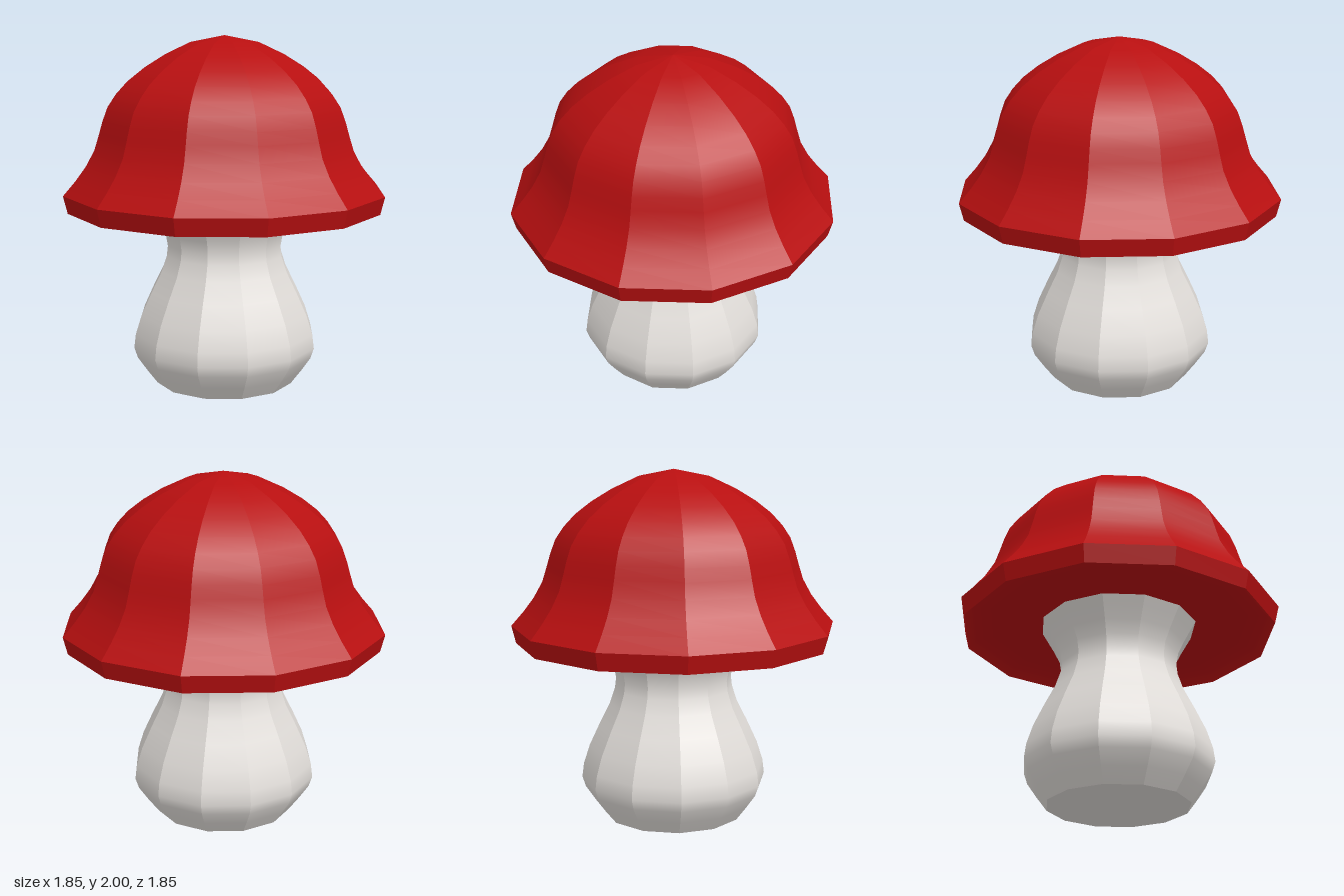
import * as THREE from 'three';
import { mergeGeometries } from 'three/addons/utils/BufferGeometryUtils.js';

const SIDES = 12;
const STEP = (Math.PI * 2) / SIDES;

// Twelve panels, flat around the axis but smooth along the profile.
function panelLathe(profile) {
  const points = profile.map(([r, y]) => new THREE.Vector2(r, y));
  const panels = [];
  for (let i = 0; i < SIDES; i++) {
    const panel = new THREE.LatheGeometry(points, 1, i * STEP, STEP);
    const mid = (i + 0.5) * STEP;
    const sx = Math.sin(mid), sz = Math.cos(mid), shrink = Math.cos(STEP / 2);
    const normal = panel.attributes.normal;
    const n = new THREE.Vector3();
    for (let k = 0; k < normal.count; k++) {
      n.fromBufferAttribute(normal, k);
      const radial = (n.x * sx + n.z * sz) / shrink;
      n.set(radial * sx, n.y * shrink, radial * sz).normalize();
      normal.setXYZ(k, n.x, n.y, n.z);
    }
    panels.push(panel);
  }
  return mergeGeometries(panels);
}

export function createModel() {
  const model = new THREE.Group();
  model.name = 'mushroom';

  const red = new THREE.MeshStandardMaterial({ color: 0xb80f10 });
  red.name = 'cap red';
  const cream = new THREE.MeshStandardMaterial({ color: 0xe2deda });
  cream.name = 'stem off-white';

  const add = (parent, name, profile, material) => {
    const mesh = new THREE.Mesh(panelLathe(profile), material);
    mesh.name = name;
    parent.add(mesh);
  };

  // Stem: bulbous foot, narrow neck, flaring into the cap
  const stem = new THREE.Group();
  stem.name = 'stem';
  add(stem, 'stemBase', [[0, 0], [0.4, 0]], cream);
  add(stem, 'stemBody', [
    [0.4, 0], [0.46, 0.08], [0.515, 0.16], [0.535, 0.22], [0.525, 0.3],
    [0.49, 0.41], [0.43, 0.54], [0.37, 0.66], [0.34, 0.75], [0.333, 0.81],
    [0.345, 0.88], [0.38, 0.95], [0.42, 1.02], [0.455, 1.08],
  ], cream);

  // Cap: bell-shaped dome, chamfered rim and shallow hollow underside
  const cap = new THREE.Group();
  cap.name = 'cap';
  add(cap, 'capDome', [
    [0.925, 1.12], [0.855, 1.2], [0.795, 1.28], [0.745, 1.37], [0.717, 1.46],
    [0.697, 1.53], [0.667, 1.61], [0.62, 1.68], [0.555, 1.75], [0.465, 1.82],
    [0.35, 1.89], [0.2, 1.96], [0, 2],
  ], red);
  add(cap, 'capRim', [[0.9, 1.02], [0.925, 1.12]], red);
  add(cap, 'capUnderside', [
    [0, 1.07], [0.45, 1.07], [0.75, 1.08], [0.85, 1.07], [0.9, 1.02],
  ], red);

  model.add(stem, cap);
  return model;
}
